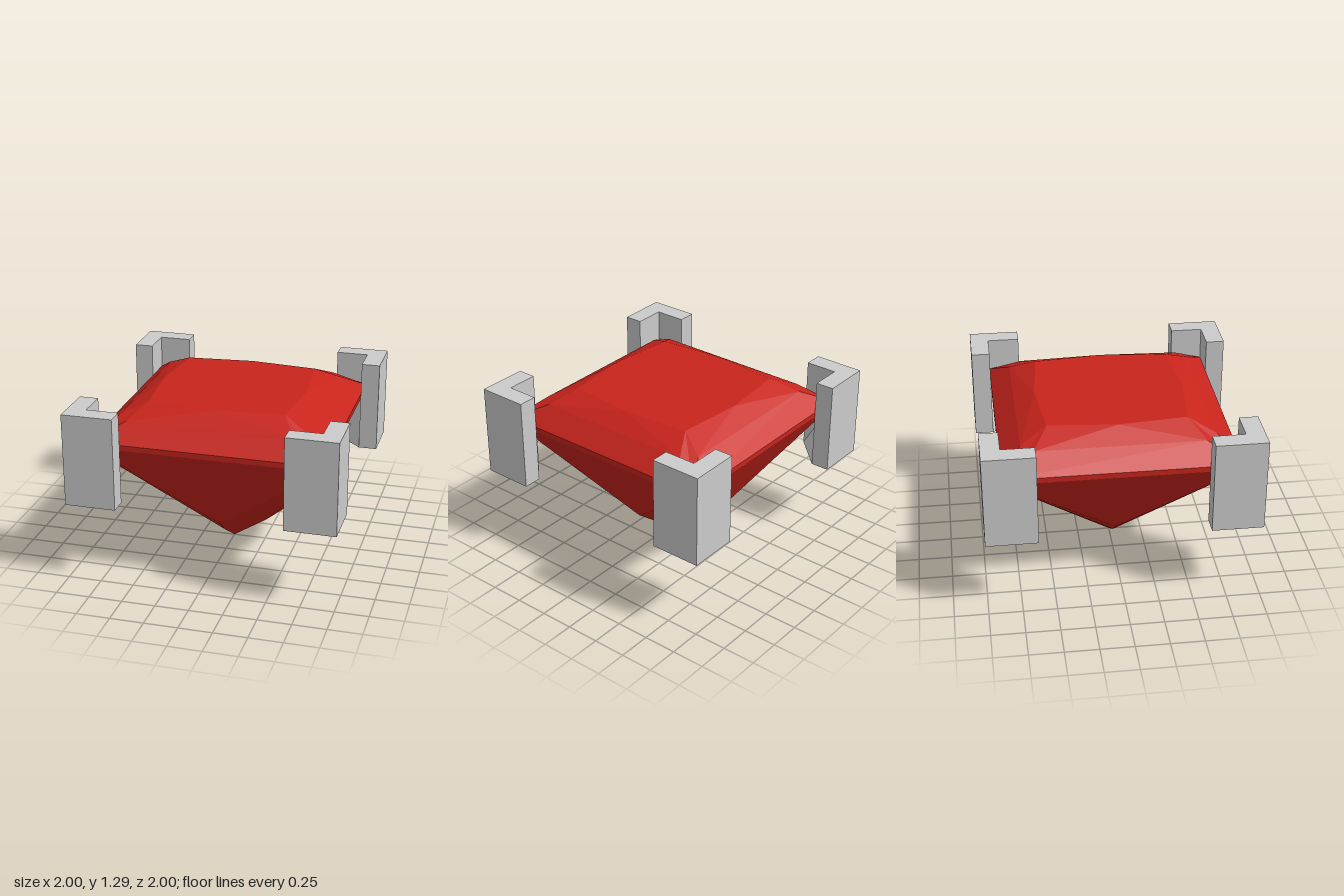
import * as THREE from 'three';

const red = new THREE.MeshStandardMaterial({ color: 0xc8241c, flatShading: true });
const grey = new THREE.MeshStandardMaterial({ color: 0xcccccc, flatShading: true });

// Flat facets (convex polygons), each turned to face away from the given centre
function facets(polygons, centre) {
  const out = [];
  const c = new THREE.Vector3(...centre);
  for (const poly of polygons) {
    const p = poly.map((q) => new THREE.Vector3(...q));
    for (let i = 1; i < p.length - 1; i++) {
      const tri = new THREE.Triangle(p[0], p[i], p[i + 1]);
      const outward = tri.getNormal(new THREE.Vector3()).dot(p[0].clone().sub(c)) > 0;
      const order = outward ? [p[0], p[i], p[i + 1]] : [p[0], p[i + 1], p[i]];
      order.forEach((v) => out.push(v.x, v.y, v.z));
    }
  }
  const geometry = new THREE.BufferGeometry();
  geometry.setAttribute('position', new THREE.Float32BufferAttribute(out, 3));
  geometry.computeVertexNormals();
  return geometry;
}

function part(geometry, material, name) {
  const mesh = new THREE.Mesh(geometry, material);
  mesh.name = name;
  return mesh;
}

// Quarter turn of a point about the y axis
const turn = ([x, y, z]) => [z, y, -x];

function gemGeometry() {
  const W = 0.86, topY = 1.26, starY = 1.17, girdleTop = 1.04, girdleBottom = 1.0;
  const culet = [0, 0, 0];
  let side = [];
  // The front side; m = -1 and 1 mirror its halves
  side.push([[-W, girdleBottom, W], [W, girdleBottom, W], [W, girdleTop, W], [-W, girdleTop, W]]);
  side.push([[-W, girdleTop, W], [W, girdleTop, W], [0.62, starY, 0.71], [-0.62, starY, 0.71]]);
  side.push([[-0.62, starY, 0.71], [0.62, starY, 0.71], [0, topY, 0.56]]);
  side.push([[-W, girdleBottom, W], [W, girdleBottom, W], [0, 0.3, 0.43]]);
  for (const m of [-1, 1]) {
    const corner = [m * W, girdleBottom, W];
    const table = [m * 0.51, topY, 0.51];
    const star = [m * 0.62, starY, 0.71];
    side.push([[0, topY, 0], [0, topY, 0.56], table]);
    side.push([star, [0, topY, 0.56], table]);
    side.push([star, table, [m * W, girdleTop, W]]);
    // Pavilion facets fanning from the corner down to the culet
    const keel = [[0, 0.3, 0.43], [0, 0.165, 0.26], culet];
    for (let i = 0; i < 2; i++) side.push([corner, keel[i], keel[i + 1]]);
  }
  const all = [];
  for (let i = 0; i < 4; i++) {
    all.push(...side);
    side = side.map((poly) => poly.map(turn));
  }
  return facets(all, [0, 0.8, 0]);
}

function createProng() {
  const prong = new THREE.Group();
  const outer = 1, inner = 0.86, end = 0.62, top = 1.29, bottom = 0.59;
  // L-shaped upright around the corner
  const outline = [[outer, outer], [end, outer], [end, inner], [inner, inner], [inner, end], [outer, end]];
  const shape = new THREE.Shape(outline.map(([x, y]) => new THREE.Vector2(x, y)));
  const upright = new THREE.ExtrudeGeometry(shape, { depth: top - bottom, bevelEnabled: false });
  upright.rotateX(Math.PI / 2).translate(0, top, 0);
  prong.add(part(upright, grey, 'prongUpright'));
  // Sloping seat in the inner corner, below the gem
  const a = [end, bottom, inner], b = [inner, bottom, end];
  const c = [inner, bottom, inner], apex = [inner, 1.0, inner];
  const seat = facets([[a, b, apex], [a, b, c], [a, c, apex], [b, c, apex]], [0.8, 0.68, 0.8]);
  prong.add(part(seat, grey, 'prongSeat'));
  return prong;
}

export function createModel() {
  const model = new THREE.Group();
  model.name = 'squareCutGem';
  model.add(part(gemGeometry(), red, 'gem'));
  const corners = ['frontLeft', 'backLeft', 'backRight', 'frontRight'];
  corners.forEach((corner, i) => {
    const prong = createProng();
    prong.name = corner + 'Prong';
    prong.rotation.y = (i * Math.PI) / 2;
    model.add(prong);
  });
  return model;
}
